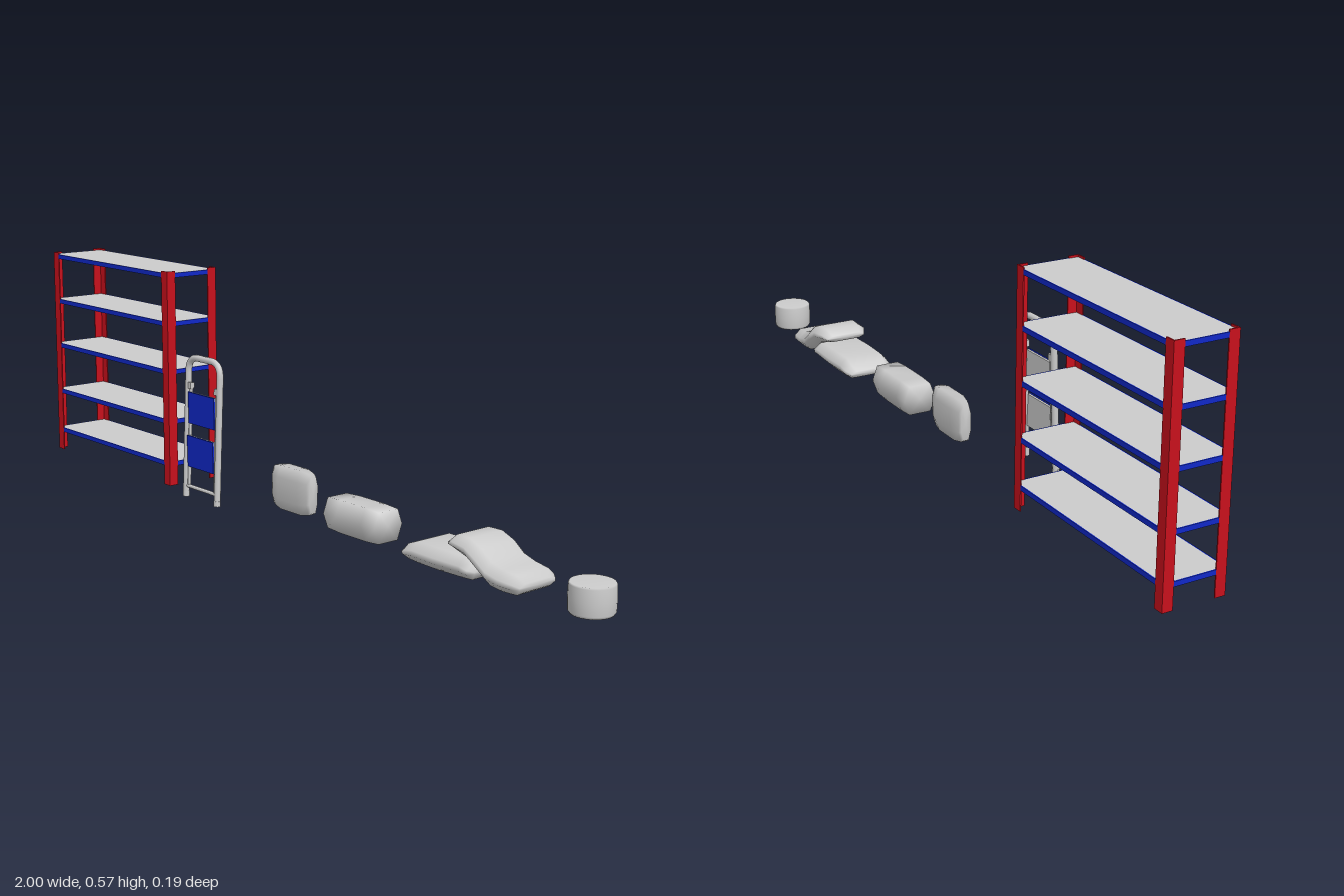
import * as THREE from 'three';

const grey = new THREE.MeshStandardMaterial({ color: 0xcccccc });
const red = new THREE.MeshStandardMaterial({ color: 0xc8101c });
const blue = new THREE.MeshStandardMaterial({ color: 0x1028c8 });
const MID_Z = -0.016;

function add(parent, name, geometry, material, x = 0, y = 0, z = 0) {
  const mesh = new THREE.Mesh(geometry, material);
  mesh.name = name;
  mesh.position.set(x, y, z);
  parent.add(mesh);
  return mesh;
}

const box = (w, h, d) => new THREE.BoxGeometry(w, h, d);

// Smooth closed body: one ring outline (z, y) scaled along sections [x, centreY, halfHeight, halfDepth]
function loft(ring, sections) {
  const n = ring.length, pos = [], idx = [];
  for (const [x, y, h, d] of sections)
    for (const [rz, ry] of ring) pos.push(x, y + ry * h, rz * d);
  for (let j = 0; j < sections.length - 1; j++)
    for (let i = 0; i < n; i++) {
      const k = (i + 1) % n;
      const a = j * n + i, b = a + n, c = (j + 1) * n + k, e = j * n + k;
      idx.push(a, b, c, a, c, e);
    }
  const last = (sections.length - 1) * n, centre = sections.length * n;
  for (const s of [sections[0], sections[sections.length - 1]]) pos.push(s[0], s[1], 0);
  for (let i = 0; i < n; i++) {
    const k = (i + 1) % n;
    idx.push(centre, i, k, centre + 1, last + k, last + i);
  }
  const g = new THREE.BufferGeometry();
  g.setAttribute('position', new THREE.Float32BufferAttribute(pos, 3));
  g.setIndex(idx);
  g.computeVertexNormals();
  return g;
}

// Rack with angle-iron posts, five decks and blue edge beams
function makeRack() {
  const rack = new THREE.Group();
  rack.name = 'storageRack';
  const W = 0.56, D = 0.156, H = 0.57, F = 0.026, T = 0.003;
  rack.position.set(-0.72, 0, MID_Z);
  for (const sx of [-1, 1])
    for (const sz of [-1, 1]) {
      const post = new THREE.Group();
      post.name = 'rackPost';
      add(post, 'postSideFlange', box(T, H, F), red, sx * (W - T) / 2, H / 2, sz * (D - F) / 2);
      add(post, 'postFaceFlange', box(F, H, T), red, sx * (W - F) / 2, H / 2, sz * (D - T) / 2);
      rack.add(post);
    }
  for (const y of [0.058, 0.172, 0.305, 0.432, 0.559]) {
    add(rack, 'shelfDeck', box(W - 2 * T, 0.009, D - 2 * T), grey, 0, y + 0.0015, 0);
    for (const s of [-1, 1]) {
      add(rack, 'shelfLongBeam', box(W - 2 * F, 0.012, T), blue, 0, y, s * (D - T) / 2);
      add(rack, 'shelfEndBeam', box(T, 0.012, D - 2 * F), blue, s * (W - T) / 2, y, 0);
    }
  }
  return rack;
}

// Folded step ladder: hooped tube frame, inner rails and two steps
function makeLadder() {
  const ladder = new THREE.Group();
  ladder.name = 'foldedStepLadder';
  ladder.position.set(-0.266, 0, 0.086);
  ladder.rotation.x = -0.04;
  const v = (x, y) => new THREE.Vector3(x, y, 0);
  const X = 0.067, top = 0.366, R = 0.038;
  const path = new THREE.CurvePath();
  path.add(new THREE.LineCurve3(v(-X, 0.002), v(-X, top - R)));
  path.add(new THREE.QuadraticBezierCurve3(v(-X, top - R), v(-X, top), v(-X + R, top)));
  path.add(new THREE.LineCurve3(v(-X + R, top), v(X - R, top)));
  path.add(new THREE.QuadraticBezierCurve3(v(X - R, top), v(X, top), v(X, top - R)));
  path.add(new THREE.LineCurve3(v(X, top - R), v(X, 0.002)));
  add(ladder, 'hoopFrame', new THREE.TubeGeometry(path, 90, 0.0085, 10), grey);
  for (const s of [-1, 1]) {
    add(ladder, 'ladderFoot', new THREE.CylinderGeometry(0.009, 0.009, 0.014, 12), grey, s * X, 0.007, 0);
    add(ladder, 'innerRail', new THREE.CylinderGeometry(0.0045, 0.0045, 0.27, 8), grey, s * 0.056, 0.16, -0.001);
    add(ladder, 'hinge', box(0.012, 0.016, 0.012), grey, s * 0.056, 0.292, 0);
  }
  const bar = add(ladder, 'bottomBar', new THREE.CylinderGeometry(0.005, 0.005, 0.12, 8), grey, 0, 0.029, 0);
  bar.rotation.z = Math.PI / 2;
  for (const y of [0.123, 0.236]) {
    const step = new THREE.Group();
    step.name = 'ladderStep';
    step.position.y = y;
    step.rotation.x = 0.06;
    add(step, 'stepTray', box(0.11, 0.08, 0.006), grey, 0, 0, 0.001);
    add(step, 'stepTread', box(0.11, 0.082, 0.004), blue, 0, 0, 0.006);
    ladder.add(step);
  }
  return ladder;
}

export function createModel() {
  const model = new THREE.Group();
  model.name = 'warehouseSet';
  model.add(makeRack(), makeLadder());

  // Upright thin sack
  const octagon = [[1, -0.5], [1, 0.5], [0.55, 1], [-0.55, 1], [-1, 0.5], [-1, -0.5], [-0.55, -1], [0.55, -1]];
  add(model, 'uprightSack', loft(octagon, [
    [-0.091, 0.065, 0.046, 0.0135], [-0.082, 0.065, 0.052, 0.016], [-0.055, 0.065, 0.0565, 0.024],
    [0.02, 0.065, 0.0565, 0.024], [0.047, 0.065, 0.052, 0.016], [0.056, 0.065, 0.046, 0.0135],
  ]), grey, 0, 0, MID_Z - 0.003);

  // Bale with blunt six-sided ends
  const hexagon = [[1, 0], [0.68, 1], [-0.68, 1], [-1, 0], [-0.68, -1], [0.68, -1]];
  add(model, 'bale', loft(hexagon, [
    [0.144, 0.046, 0.038, 0.044], [0.19, 0.046, 0.0405, 0.0455],
    [0.28, 0.046, 0.0405, 0.0455], [0.326, 0.046, 0.038, 0.044],
  ]), grey, 0, 0, MID_Z - 0.004);

  // Flat sack and a second one draped over its end
  const pillow = [[1, -0.25], [1, 0.25], [0.72, 1], [-0.72, 1], [-1, 0.25], [-1, -0.25], [-0.72, -1], [0.72, -1]];
  add(model, 'flatSack', loft(pillow, [
    [0.436, 0.024, 0.008, 0.055], [0.452, 0.028, 0.018, 0.066], [0.482, 0.033, 0.025, 0.068],
    [0.55, 0.033, 0.025, 0.071], [0.63, 0.033, 0.024, 0.068], [0.653, 0.029, 0.019, 0.066], [0.666, 0.029, 0.009, 0.055],
  ]), grey, 0, 0, MID_Z);
  add(model, 'drapedSack', loft(pillow, [
    [0.583, 0.079, 0.008, 0.055], [0.605, 0.084, 0.018, 0.066], [0.645, 0.079, 0.0235, 0.069],
    [0.68, 0.06, 0.028, 0.071], [0.71, 0.039, 0.027, 0.07], [0.745, 0.032, 0.024, 0.069],
    [0.784, 0.03, 0.021, 0.066], [0.799, 0.027, 0.009, 0.055],
  ]), grey, 0, 0, MID_Z);

  // Round tub with slightly softened rims
  const profile = [[0, 0.006], [0.047, 0.006], [0.0505, 0.012], [0.0515, 0.04], [0.0505, 0.069], [0.048, 0.0725], [0, 0.0725]]
    .map(([r, y]) => new THREE.Vector2(r, y));
  add(model, 'roundTub', new THREE.LatheGeometry(profile, 32), grey, 0.948, 0, MID_Z);
  return model;
}
